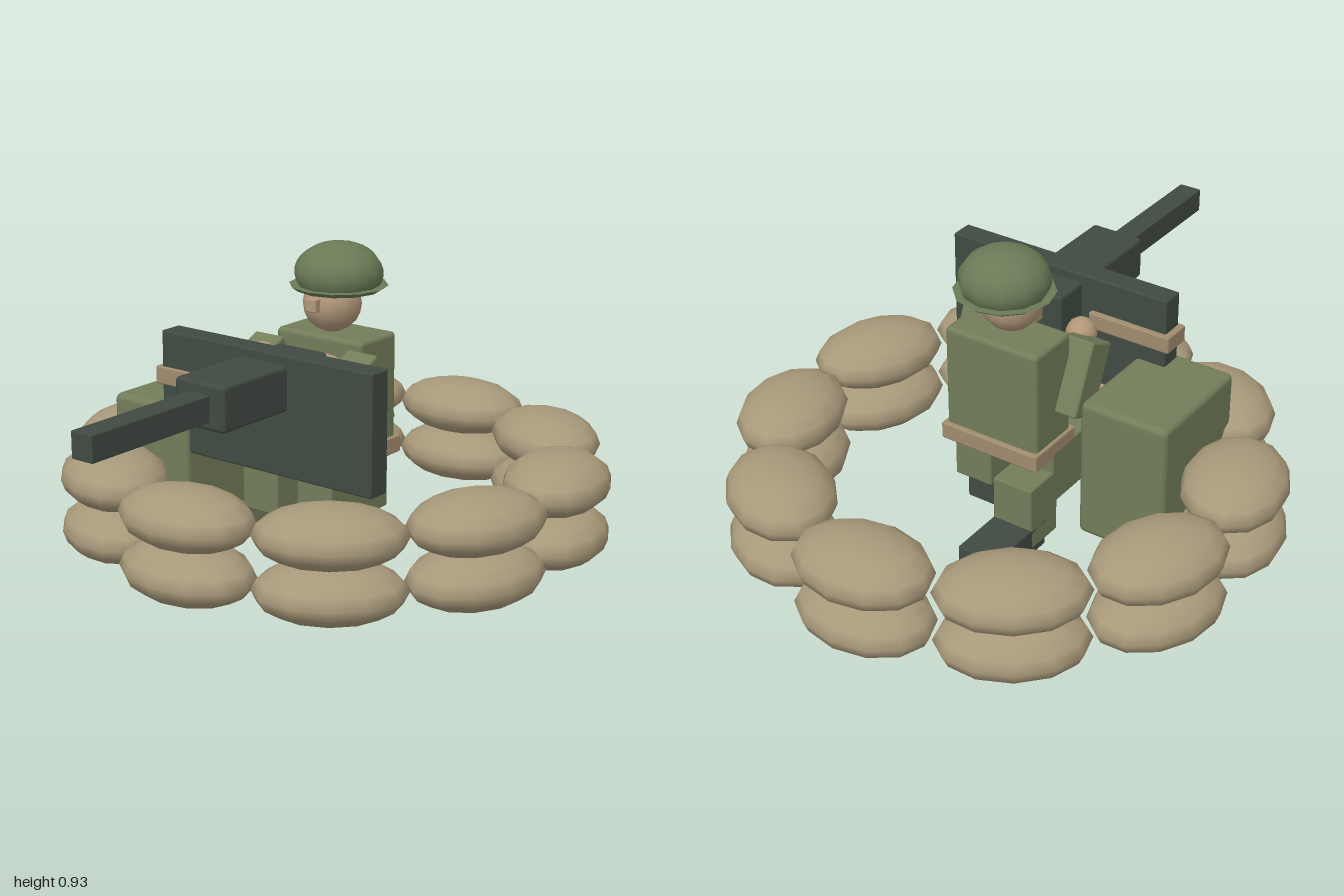
import * as THREE from 'three';
import { RoundedBoxGeometry } from 'three/addons/geometries/RoundedBoxGeometry.js';

const mat = (name, color) => {
  const m = new THREE.MeshStandardMaterial({ color });
  m.name = name;
  return m;
};

export function createModel() {
  const model = new THREE.Group();
  model.name = 'gunEmplacement';

  const sand = mat('sandbagTan', 0xa8997a);
  const green = mat('uniformGreen', 0x737d5a);
  const helmetGreen = mat('helmetGreen', 0x6a7a56);
  const dark = mat('gunMetal', 0x404a42);
  const webbing = mat('webbingTan', 0xa08c6e);
  const skin = mat('skin', 0xb2987a);

  const add = (parent, name, geometry, material, x = 0, y = 0, z = 0) => {
    const mesh = new THREE.Mesh(geometry, material);
    mesh.name = name;
    mesh.position.set(x, y, z);
    parent.add(mesh);
    return mesh;
  };

  // Box given by its extents on each axis, with slightly softened edges
  const box = (parent, name, material, [x0, x1], [y0, y1], [z0, z1], r = 0.006) =>
    add(parent, name, new RoundedBoxGeometry(x1 - x0, y1 - y0, z1 - z0, 2, r), material,
      (x0 + x1) / 2, (y0 + y1) / 2, (z0 + z1) / 2);

  const group = (name) => {
    const g = new THREE.Group();
    g.name = name;
    model.add(g);
    return g;
  };

  // Ring of sandbags in two layers
  const wall = group('sandbagWall');
  const bagGeometry = new THREE.SphereGeometry(1, 12, 8).scale(0.22, 0.087, 0.16);
  for (const y of [0.094, 0.256]) {
    for (let i = 0; i < 10; i++) {
      const a = (i / 10) * Math.PI * 2;
      const bag = add(wall, 'sandbag', bagGeometry, sand, Math.sin(a) * 0.69, y, -0.15 + Math.cos(a) * 0.69);
      bag.rotation.y = a;
    }
  }

  // Mounted gun with shield
  const gun = group('mountedGun');
  box(gun, 'shield', dark, [-0.325, 0.445], [0.33, 0.69], [0.2, 0.275]);
  box(gun, 'receiver', dark, [-0.03, 0.148], [0.527, 0.662], [0.087, 0.547], 0.012);
  box(gun, 'barrel', dark, [0.022, 0.097], [0.553, 0.63], [0.53, 1], 0.004);
  box(gun, 'rearGrip', webbing, [0.035, 0.092], [0.57, 0.63], [0, 0.1]);
  box(gun, 'ammunitionBelt', webbing, [-0.345, -0.065], [0.525, 0.58], [0.183, 0.283]);

  // Ammunition crate
  box(model, 'ammunitionCrate', green, [-0.512, -0.22], [0.005, 0.467], [-0.102, 0.292], 0.02);

  // Soldier: torso, waist belt and head
  const soldier = group('soldier');
  box(soldier, 'torso', green, [-0.16, 0.16], [0.3, 0.66], [-0.235, -0.055], 0.015);
  box(soldier, 'waistBelt', webbing, [-0.17, 0.17], [0.28, 0.335], [-0.25, -0.042]);
  add(soldier, 'head', new THREE.SphereGeometry(0.09, 14, 10), skin, 0, 0.748, -0.126);
  box(soldier, 'nose', skin, [-0.02, 0.02], [0.735, 0.776], [-0.06, -0.018], 0.004);

  // Helmet
  const dome = add(soldier, 'helmetDome',
    new THREE.SphereGeometry(0.135, 12, 10, 0, Math.PI * 2, 0, Math.PI * 0.65), helmetGreen, 0, 0.832, -0.157);
  dome.scale.y = 0.7;
  add(soldier, 'helmetBrim', new THREE.CylinderGeometry(0.15, 0.13, 0.014, 12), helmetGreen, 0, 0.79, -0.157);

  // Arms and hands
  for (const s of [-1, 1]) {
    const arm = add(soldier, 'arm', new RoundedBoxGeometry(0.11, 0.23, 0.11, 2, 0.008), green, s * 0.175, 0.512, -0.042);
    arm.rotation.x = 0.43;
    add(soldier, 'hand', new THREE.SphereGeometry(0.048, 10, 8), skin, s * 0.125, 0.594, 0.053);
  }

  // Left leg planted forward
  const lx = [0.035, 0.165];
  box(soldier, 'leftThigh', green, lx, [0.12, 0.3], [-0.19, 0.09]);
  box(soldier, 'leftShin', green, lx, [0.07, 0.2], [-0.04, 0.09]);
  box(soldier, 'leftBoot', dark, lx, [0, 0.09], [-0.13, 0.13]);

  // Right leg kneeling
  const rx = [-0.17, -0.035];
  box(soldier, 'rightThigh', green, rx, [0.12, 0.3], [-0.16, 0.095]);
  box(soldier, 'rightShin', green, rx, [0.018, 0.23], [-0.277, -0.138]);
  box(soldier, 'rightBoot', dark, rx, [0, 0.09], [-0.455, -0.2]);

  return model;
}
